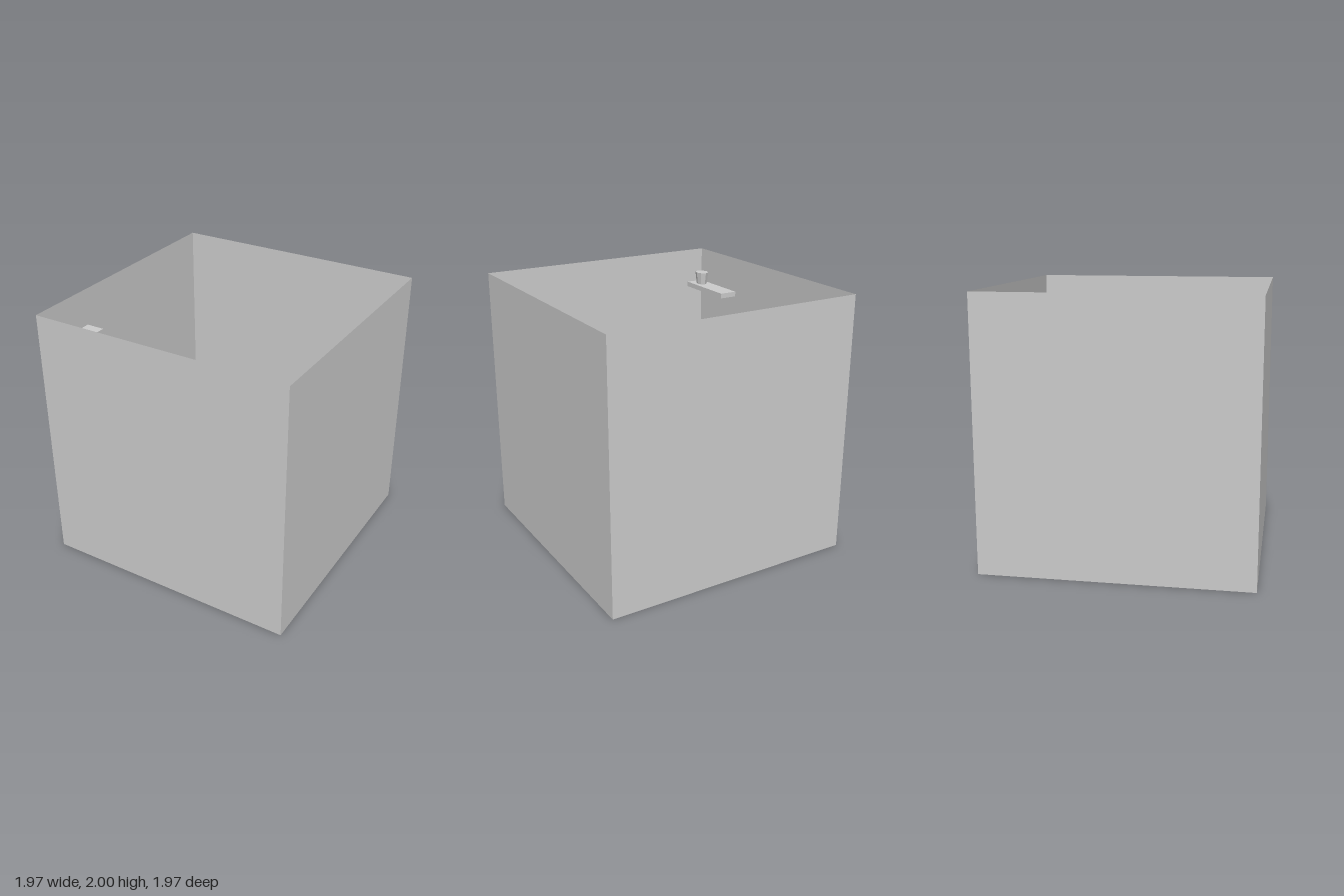
import * as THREE from 'three';

const material = new THREE.MeshStandardMaterial({ color: 0xcccccc, flatShading: true });
const thin = new THREE.MeshStandardMaterial({ color: 0xcccccc, side: THREE.DoubleSide });

function add(parent, name, geometry, x, y, z, mat = material) {
  const mesh = new THREE.Mesh(geometry, mat);
  mesh.name = name;
  mesh.position.set(x, y, z);
  parent.add(mesh);
  return mesh;
}

// Box given by its limits on each axis
function block(parent, name, [x0, x1], [y0, y1], [z0, z1]) {
  return add(parent, name, new THREE.BoxGeometry(x1 - x0, y1 - y0, z1 - z0),
    (x0 + x1) / 2, (y0 + y1) / 2, (z0 + z1) / 2);
}

// Open-topped room: floor and four thin walls
function room(size, height) {
  const group = new THREE.Group();
  group.name = 'room';
  add(group, 'floor', new THREE.PlaneGeometry(size, size), 0, 0, 0, thin).rotation.x = -Math.PI / 2;
  ['frontWall', 'leftWall', 'backWall', 'rightWall'].forEach((name, i) => {
    const a = i * Math.PI / 2;
    const wall = add(group, name, new THREE.PlaneGeometry(size, height),
      Math.sin(a) * size / 2, height / 2, Math.cos(a) * size / 2, thin);
    wall.rotation.y = a;
  });
  return group;
}

// Bookcase open towards -z, standing on the floor
function bookcase(name, width, height, depth, shelves) {
  const group = new THREE.Group();
  group.name = name;
  const t = 0.015, board = 0.03, inner = width / 2 - t;
  for (const s of [-1, 1]) {
    add(group, 'sidePanel', new THREE.BoxGeometry(t, height, depth), s * (width - t) / 2, height / 2, 0);
  }
  for (let i = 0; i <= shelves; i++) {
    const y = i * (height - board) / shelves;
    block(group, 'shelf', [-inner, inner], [y, y + board], [-depth / 2, depth / 2 - t]);
  }
  block(group, 'backPanel', [-inner, inner], [0, height], [depth / 2 - t, depth / 2]);
  return group;
}

// Square table with rounded corners and four legs
function table(size, height) {
  const group = new THREE.Group();
  group.name = 'table';
  const h = size / 2, r = 0.06, t = 0.04;
  const shape = new THREE.Shape();
  for (let i = 0; i < 4; i++) {
    const a = i * Math.PI / 2;
    const sx = i === 0 || i === 3 ? 1 : -1, sy = i < 2 ? 1 : -1;
    shape.absarc(sx * (h - r), sy * (h - r), r, a, a + Math.PI / 2, false);
  }
  const top = new THREE.ExtrudeGeometry(shape, { depth: t, bevelEnabled: false, curveSegments: 6 });
  top.rotateX(-Math.PI / 2);
  add(group, 'tableTop', top, 0, height - t, 0);
  for (const sx of [-1, 1]) for (const sz of [-1, 1]) {
    add(group, 'tableLeg', new THREE.BoxGeometry(0.05, height - t, 0.05),
      sx * (h - 0.07), (height - t) / 2, sz * (h - 0.07));
  }
  return group;
}

export function createModel() {
  const model = new THREE.Group();
  model.name = 'furnishedRoom';
  const w = 0.985;
  model.add(room(2 * w, 2));

  // Large bookcase by the front wall, small one by the left wall
  const large = bookcase('largeBookcase', 0.715, 1.26, 0.355, 4);
  large.position.set(-0.283, 0, 0.755);
  const small = bookcase('smallBookcase', 0.55, 0.95, 0.265, 3);
  small.position.set(0.797, 0, -0.605);
  small.rotation.y = Math.PI / 2;
  model.add(large, small);

  const centre = table(0.595, 0.48);
  centre.position.set(-0.113, 0, -0.225);
  model.add(centre);

  // Cabinet, wall panel and high shelf against the side walls
  block(model, 'cabinet', [0.72, w - 0.002], [0.002, 1.09], [0.2, 0.72]);
  block(model, 'wallPanel', [0.002 - w, -0.895], [0.62, 1.0], [-0.62, -0.1]);
  block(model, 'wallShelf', [0.002 - w, -0.84], [1.68, 1.72], [0.46, w - 0.002]);

  // Small faceted pot on the shelf
  const pot = add(model, 'pot', new THREE.CylinderGeometry(0.052, 0.04, 0.1, 8), -0.913, 1.77, 0.87);
  pot.scale.z = 1.25;
  return model;
}
